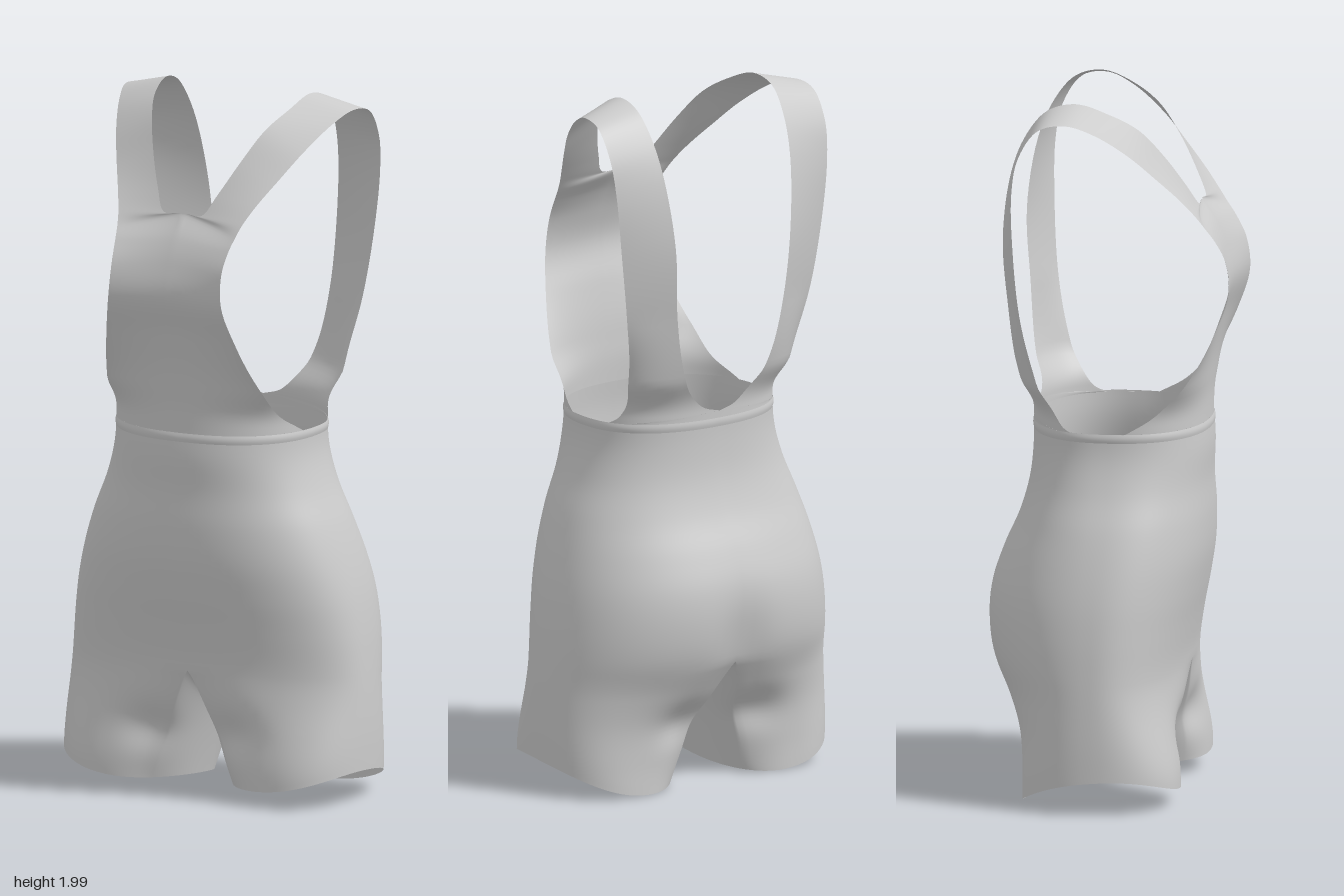
import * as THREE from 'three';
import { mergeVertices } from 'three/addons/utils/BufferGeometryUtils.js';

const material = new THREE.MeshStandardMaterial({ color: 0xcccccc, side: THREE.DoubleSide });
const { lerp, clamp, smoothstep } = THREE.MathUtils;

// Value table sampled at y = 0, 0.1 ... 1.1, smoothly interpolated
function profile(values) {
  const curve = new THREE.SplineCurve(values.map((v, i) => new THREE.Vector2(i / 10, v)));
  return (y) => curve.getPoint(clamp(y / 1.1, 0, 1)).y;
}
const halfWidth = profile([.465, .467, .467, .463, .456, .446, .43, .405, .372, .33, .302, .297]);
const frontZ = profile([.22, .22, .215, .213, .215, .23, .25, .266, .27, .266, .27, .264]);
const backZ = profile([.22, .225, .245, .287, .335, .352, .345, .312, .268, .24, .23, .23]);

const POWER = 2.3;
const spow = (v) => Math.sign(v) * Math.pow(Math.abs(v), 2 / POWER);

// Point on a rounded section; angle 0 is the front, PI/2 the outer side
function section(angle, cx, rx, y) {
  const c = spow(Math.cos(angle));
  return [cx + rx * spow(Math.sin(angle)), y, c * (c > 0 ? frontZ(y) : backZ(y))];
}

// Smooth mesh from grids of points on the +x half, mirrored and welded
function mirroredMesh(name, grids) {
  const pos = [], index = [];
  for (const { rows, cols, at } of grids) {
    for (const s of [1, -1]) {
      const base = pos.length / 3;
      for (let i = 0; i <= rows; i++) {
        for (let j = 0; j <= cols; j++) {
          const [x, y, z] = at(i / rows, j / cols);
          pos.push(s * Math.max(x, 0), y, z);
        }
      }
      for (let i = 0; i < rows; i++) {
        for (let j = 0; j < cols; j++) {
          const a = base + i * (cols + 1) + j, b = a + cols + 1;
          if (s > 0) index.push(a, b, a + 1, a + 1, b, b + 1);
          else index.push(a, a + 1, b, a + 1, b + 1, b);
        }
      }
    }
  }
  let geo = new THREE.BufferGeometry();
  geo.setAttribute('position', new THREE.Float32BufferAttribute(pos, 3));
  geo.setIndex(index);
  geo = mergeVertices(geo, 1e-4);
  geo.computeVertexNormals();
  const mesh = new THREE.Mesh(geo, material);
  mesh.name = name;
  return mesh;
}

const WAIST = 1.07, CROTCH = 0.38, INSEAM = 0.7;

// Hips: from the waist down to the crotch, with a soft cleft at the back
function hipPoint(angle, y) {
  const p = section(angle, 0, halfWidth(y), y);
  if (p[2] < 0) {
    p[2] *= 1 - 0.07 * Math.exp(-((p[0] / 0.08) ** 2) - ((y - 0.42) / 0.14) ** 2);
  }
  return p;
}

// Leg: oval tube with a hem that rises towards the outer side
function legPoint(angle, t, top) {
  const inner = 0.072, cx = (inner + 0.465) / 2;
  const hem = section(angle, cx, 0.465 - cx, 0.05);
  const across = (hem[0] - inner) / 0.393;
  const hemY = 0.025 + 0.08 * across ** 3 + 0.015 * (1 - across) ** 3 + 0.1 * hem[2];
  const y = lerp(top[1], hemY, t);
  const centre = (inner + halfWidth(y)) / 2;
  return section(angle, centre, halfWidth(y) - centre, y);
}

// Cloth gathers inwards beside the crotch
function gather([x, y, z]) {
  const dent = 0.12 * Math.exp(-(((x - 0.13) / 0.08) ** 2) - ((y - 0.2) / 0.06) ** 2);
  return [x, y, z * (1 - dent)];
}

function makeShorts() {
  const split = (t) => Math.pow(t, 0.85);
  const hips = {
    rows: 36, cols: 48,
    at: (t, u) => hipPoint(u * Math.PI, lerp(WAIST, CROTCH, t)),
  };
  const outerLeg = {
    rows: 24, cols: 48,
    at: (t, u) => {
      const leg = legPoint(lerp(-INSEAM, Math.PI + INSEAM, u), t, hipPoint(u * Math.PI, CROTCH));
      const body = hipPoint(u * Math.PI, leg[1]);
      const side = clamp(Math.min(u, 1 - u) * 6, 0, 1);
      const blend = lerp(split(t), smoothstep(t, 0, 1), side);
      return gather([lerp(body[0], leg[0], blend), leg[1], lerp(body[2], leg[2], blend)]);
    },
  };
  const innerLeg = {
    rows: 24, cols: 24,
    at: (t, u) => {
      // the top row is the curve that passes under the crotch
      const a = Math.PI * (1 - u), c = Math.cos(a), blend = split(t);
      const top = [0, CROTCH - 0.11 * Math.sin(a) ** 2, 0];
      const leg = legPoint(lerp(Math.PI + INSEAM, 2 * Math.PI - INSEAM, u), t, top);
      const end = hipPoint(c > 0 ? 0 : Math.PI, leg[1]);
      return gather([leg[0] * blend, leg[1], lerp(Math.abs(c) * end[2], leg[2], blend)]);
    },
  };
  return mirroredMesh('shorts', [hips, outerLeg, innerLeg]);
}

// Bib and strap edges, from the front waist over the shoulder to the back waist
const toCurve = (pts) => new THREE.CatmullRomCurve3(pts.map((p) => new THREE.Vector3(...p)));
const innerEdge = toCurve([
  [0, 1.07, .265], [0, 1.15, .268], [0, 1.25, .278], [0, 1.36, .3], [0, 1.47, .328], [0, 1.56, .31],
  [0, 1.63, .28], [0, 1.69, .24], [.06, 1.692, .24], [.095, 1.75, .21], [.14, 1.84, .155], [.18, 1.92, .09],
  [.215, 1.97, .01], [.23, 2, -.08], [.235, 1.98, -.16], [.23, 1.91, -.22], [.22, 1.8, -.265], [.2, 1.6, -.293],
  [.185, 1.4, -.28], [.155, 1.25, -.265], [.115, 1.16, -.247], [.06, 1.108, -.237], [0, 1.09, -.232],
]);
const outerEdge = toCurve([
  [.294, 1.07, .07], [.27, 1.13, .17], [.235, 1.24, .255], [.205, 1.35, .31], [.18, 1.46, .345], [.175, 1.55, .335],
  [.18, 1.61, .305], [.187, 1.645, .28], [.197, 1.68, .255], [.22, 1.73, .215], [.26, 1.8, .15], [.3, 1.87, .08],
  [.34, 1.935, -.01], [.365, 1.965, -.09], [.375, 1.95, -.165], [.375, 1.87, -.22], [.368, 1.77, -.24], [.35, 1.6, -.24],
  [.32, 1.4, -.225], [.29, 1.25, -.195], [.28, 1.14, -.16], [.285, 1.085, -.12], [.294, 1.065, -.08],
]);

// Draws points near the waist onto the section of the shorts
function hugWaist(p) {
  const z = p.z > 0 ? frontZ(WAIST) : backZ(WAIST);
  const size = (Math.abs(p.x) / halfWidth(WAIST)) ** POWER + (Math.abs(p.z) / z) ** POWER;
  const scale = lerp(1, size ** (-1 / POWER), smoothstep(1.2 - p.y, 0, 0.11));
  return [p.x * scale, p.y, p.z * scale];
}

function makeBibAndStraps() {
  const at = (t, u) => {
    const a = outerEdge.getPoint(t), b = innerEdge.getPoint(t);
    // the cloth wraps round the body near the waist and flattens higher up
    const wrap = 0.75 * clamp((1.4 - a.y) / 0.33, 0, 1);
    const level = Math.max(wrap, 1 - clamp(b.x / 0.06, 0, 1));
    const control = a.clone().lerp(b, 0.5);
    control.x = lerp(control.x, a.x, wrap);
    control.z = lerp(control.z, b.z, level);
    return hugWaist(new THREE.QuadraticBezierCurve3(a, control, b).getPoint(u));
  };
  const backFill = {
    // strip that joins the back straps to the waist
    rows: 2, cols: 24,
    at: (t, u) => {
      const p = at(1, 1 - u);
      const rim = section(lerp(Math.PI, Math.PI / 2, u), 0, halfWidth(WAIST), WAIST - 0.005);
      return p.map((v, i) => lerp(rim[i], v, 1 - t));
    },
  };
  backFill.at = ((inner) => (t, u) => inner(t, 1 - u))(backFill.at);
  return mirroredMesh('bibAndStraps', [{ rows: 132, cols: 14, at }, backFill]);
}

// Faint raised seam around the waist
function makeWaistSeam() {
  const at = (t, u) => {
    const [x, y, z] = section(u * Math.PI, 0, halfWidth(WAIST), lerp(WAIST, 1.045, t));
    const grow = 1.002 + 0.008 * Math.sin(t * Math.PI);
    return [x * grow, y, z * grow];
  };
  return mirroredMesh('waistSeam', [{ rows: 6, cols: 48, at }]);
}

export function createModel() {
  const group = new THREE.Group();
  group.name = 'shortOveralls';
  group.add(makeShorts(), makeBibAndStraps(), makeWaistSeam());
  return group;
}
